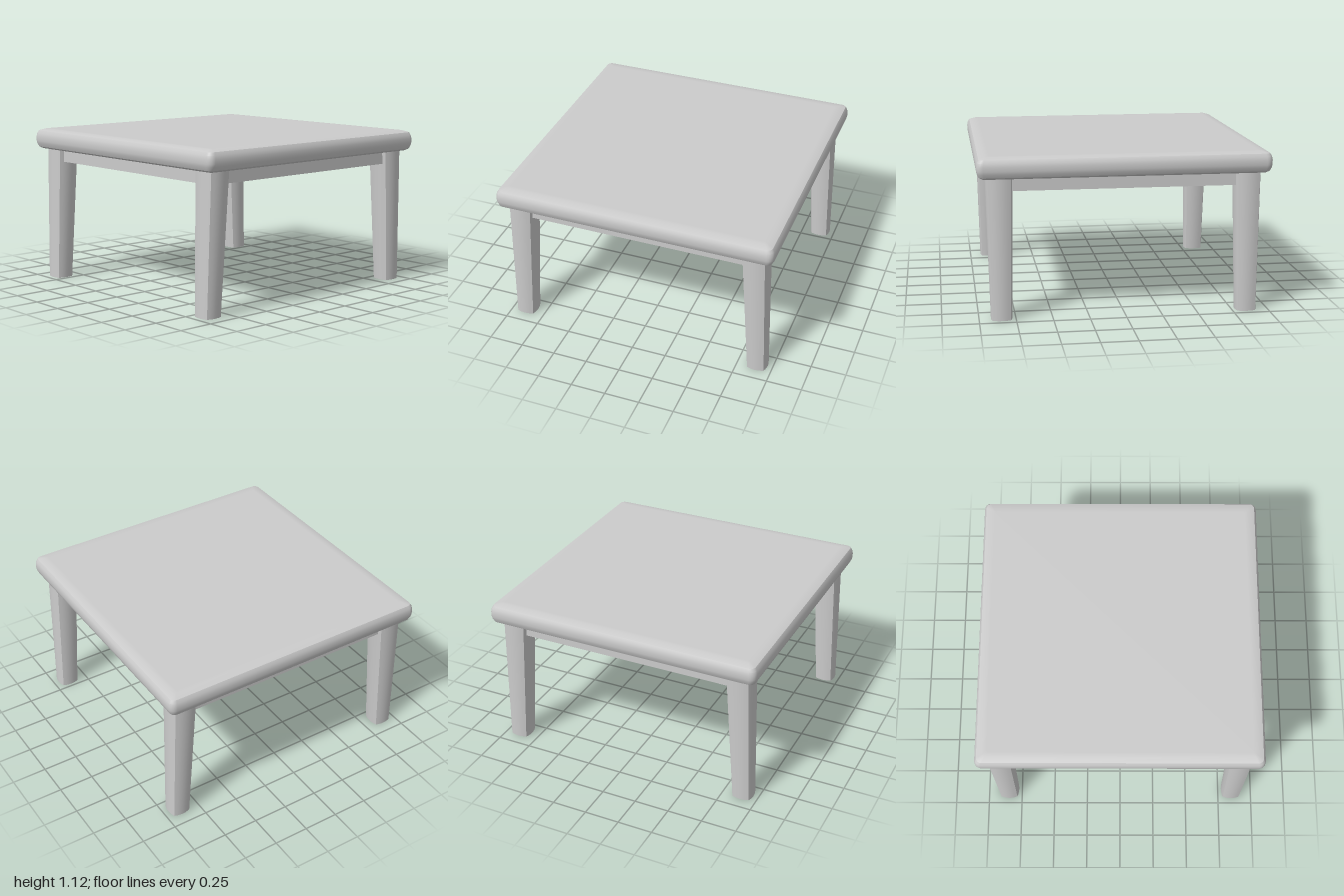
import * as THREE from 'three';
import { toCreasedNormals } from 'three/addons/utils/BufferGeometryUtils.js';

const material = new THREE.MeshStandardMaterial({ color: 0xcccccc });

// Closed solid through consecutive rings of [x, y, z], from the underside to the top
function loft(rings) {
  const n = rings[0].length;
  const position = [];
  const tri = (...pts) => pts.forEach((p) => position.push(...p));
  const centre = (ring) => [0, 1, 2].map((k) => ring.reduce((s, p) => s + p[k], 0) / n);
  const low = rings[0], high = rings[rings.length - 1];
  const lowCentre = centre(low), highCentre = centre(high);
  for (let j = 0; j < n; j++) {
    const k = (j + 1) % n;
    for (let i = 0; i < rings.length - 1; i++) {
      const a = rings[i], b = rings[i + 1];
      tri(a[j], b[j], a[k]);
      tri(a[k], b[j], b[k]);
    }
    tri(lowCentre, low[j], low[k]);
    tri(highCentre, high[k], high[j]);
  }
  const geometry = new THREE.BufferGeometry();
  geometry.setAttribute('position', new THREE.Float32BufferAttribute(position, 3));
  return toCreasedNormals(geometry, 0.44);
}

// Square ring with rounded corners
function roundedRing(half, radius, y) {
  const ring = [];
  const steps = 5;
  for (let q = 0; q < 4; q++) {
    const mid = Math.PI / 4 + q * Math.PI / 2;
    const cx = Math.sign(Math.cos(mid)) * (half - radius);
    const cz = Math.sign(Math.sin(mid)) * (half - radius);
    for (let i = 0; i <= steps; i++) {
      const t = (q + i / steps) * Math.PI / 2;
      ring.push([cx + radius * Math.cos(t), y, cz + radius * Math.sin(t)]);
    }
  }
  return ring;
}

// Square ring with sharp corners and softly bulging sides
function bulgedRing(cx, cz, half, y) {
  const ring = [];
  const steps = 6, corner = half * 0.83;
  for (let q = 0; q < 4; q++) {
    const c = Math.cos(q * Math.PI / 2), s = Math.sin(q * Math.PI / 2);
    for (let i = 0; i < steps; i++) {
      const u = -1 + 2 * i / steps;
      const out = corner + (half - corner) * (1 - u * u), along = corner * u;
      ring.push([cx + out * c - along * s, y, cz + out * s + along * c]);
    }
  }
  return ring;
}

function add(group, name, geometry) {
  const mesh = new THREE.Mesh(geometry, material);
  mesh.name = name;
  group.add(mesh);
  return mesh;
}

export function createModel() {
  const table = new THREE.Group();
  table.name = 'table';

  // Tabletop as [inset, height]: recessed underside, rounded rim, flat top
  const profile = [[0.135, 1.04], [0.135, 0.972], [0.04, 0.972], [0.016, 0.985],
    [0.004, 1.01], [0, 1.03], [0, 1.06], [0.005, 1.085], [0.017, 1.106],
    [0.06, 1.12], [0.09, 1.12]];
  add(table, 'tabletop', loft(profile.map(([inset, y]) =>
    roundedRing(1 - inset, Math.max(0.045 - inset * 0.6, 0.015), y))));

  // Tapered legs, splayed sideways
  for (const sx of [-1, 1]) {
    for (const sz of [-1, 1]) {
      const name = (sz > 0 ? 'front' : 'back') + (sx > 0 ? 'Left' : 'Right') + 'Leg';
      add(table, name, loft([
        bulgedRing(sx * 0.89, sz * 0.847, 0.073, 0),
        bulgedRing(sx * 0.846, sz * 0.848, 0.095, 1.045),
      ]));
    }
  }

  // Apron rails between the legs
  ['frontApron', 'leftApron', 'backApron', 'rightApron'].forEach((name, i) => {
    const rail = new THREE.BoxGeometry(1.56, 0.1, 0.035);
    rail.translate(0, 0.93, 0.8825);
    add(table, name, rail).rotation.y = i * Math.PI / 2;
  });

  return table;
}
